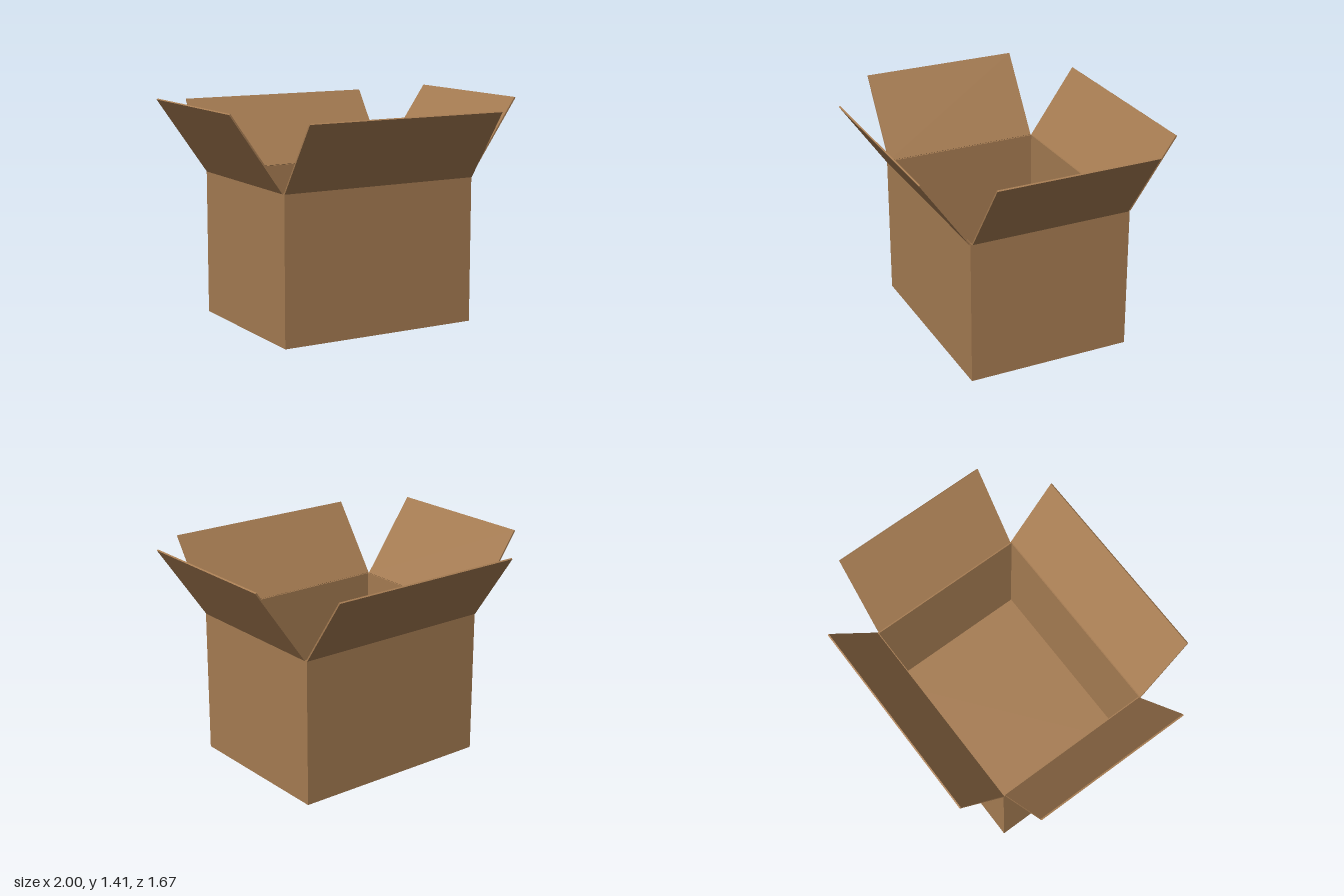
import * as THREE from 'three';

const W = 1.32, D = 1.055, H = 0.925; // outer size of the box body
const T = 0.01; // board thickness
const TILT = THREE.MathUtils.degToRad(35); // flap lean from vertical

export function createModel() {
  const model = new THREE.Group();
  model.name = 'openBox';
  const cardboard = new THREE.MeshStandardMaterial({ color: 0xa67c52 });
  cardboard.name = 'cardboard';

  function board(name, w, h, d, x, y, z, parent = model) {
    const mesh = new THREE.Mesh(new THREE.BoxGeometry(w, h, d), cardboard);
    mesh.name = name;
    mesh.position.set(x, y, z);
    parent.add(mesh);
    return mesh;
  }

  // Flap hinged on a top edge, leaning outwards; turn picks the side
  function flap(name, width, length, distance, turn) {
    const side = new THREE.Group();
    side.name = name;
    side.rotation.y = turn;
    const hinge = new THREE.Group();
    hinge.name = name + 'Hinge';
    hinge.position.set(0, H, distance);
    hinge.rotation.x = TILT;
    board(name + 'Panel', width, length, T, 0, length / 2, 0, hinge);
    side.add(hinge);
    model.add(side);
  }

  // Floor
  board('floor', W - 2 * T, T, D - 2 * T, 0, T / 2, 0);

  // Walls and flaps in opposite pairs
  for (const s of [1, -1]) {
    const longName = s > 0 ? 'front' : 'back';
    const shortName = s > 0 ? 'left' : 'right';
    board(longName + 'Wall', W, H, T, 0, H / 2, s * (D - T) / 2);
    board(shortName + 'Wall', T, H, D - 2 * T, s * (W - T) / 2, H / 2, 0);
    flap(longName + 'Flap', W, 0.53, D / 2, s > 0 ? 0 : Math.PI);
    flap(shortName + 'Flap', 1.03, 0.583, W / 2 + 0.001, s * Math.PI / 2);
  }
  return model;
}
